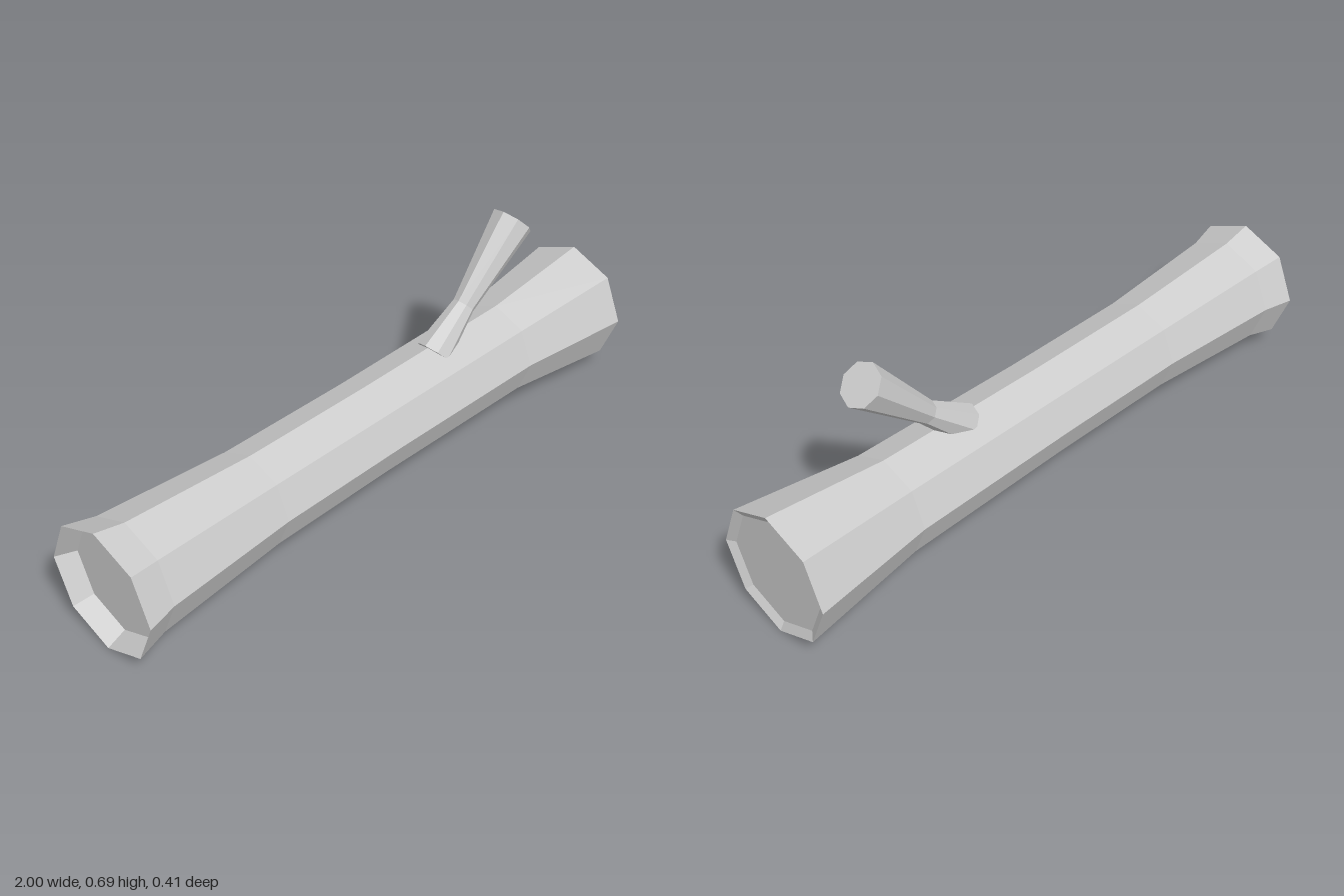
import * as THREE from 'three';

const SIDES = 8;

// Skin a row of octagonal rings [x, y, radius, tilt]; tilt is the ring's axis angle above +x.
function loft(name, rings) {
  const pos = [];
  const point = ([x, y, r, tilt = 0], j) => {
    const a = (j / SIDES) * Math.PI * 2;
    const up = r * Math.cos(a);
    return [x - up * Math.sin(tilt), y + up * Math.cos(tilt), r * Math.sin(a)];
  };
  for (let i = 0; i < rings.length - 1; i++) {
    for (let j = 0; j < SIDES; j++) {
      const a = point(rings[i], j), b = point(rings[i], j + 1);
      const c = point(rings[i + 1], j + 1), d = point(rings[i + 1], j);
      if (rings[i][2] > 0) pos.push(...a, ...b, ...(rings[i + 1][2] > 0 ? c : d));
      if (rings[i + 1][2] > 0) pos.push(...a, ...c, ...d);
    }
  }
  const geo = new THREE.BufferGeometry();
  geo.setAttribute('position', new THREE.Float32BufferAttribute(pos, 3));
  geo.computeVertexNormals();
  const mesh = new THREE.Mesh(geo, new THREE.MeshStandardMaterial({ color: 0xcccccc, flatShading: true }));
  mesh.name = name;
  return mesh;
}

export function createModel() {
  const group = new THREE.Group();
  group.name = 'log';

  // Trunk: flared at both ends, with dished end grain
  const trunk = [
    [-0.94, 0], [-0.94, 0.177], [-1, 0.203], [-0.9, 0.179], [-0.46, 0.15],
    [0, 0.148], [0.6, 0.155], [1, 0.203], [0.985, 0.177], [0.985, 0],
  ];
  group.add(loft('trunk', trunk.map(([x, r]) => [x, 0.203, r])));

  // Branch stub: wide root, narrow neck, flared cut tip
  group.add(loft('branch', [
    [0.305, 0.325, 0, 0.75],
    [0.305, 0.325, 0.058, 0.75],
    [0.44, 0.435, 0.036, 0.77],
    [0.658, 0.645, 0.067, 0.77],
    [0.658, 0.645, 0, 0.77],
  ]));
  return group;
}
